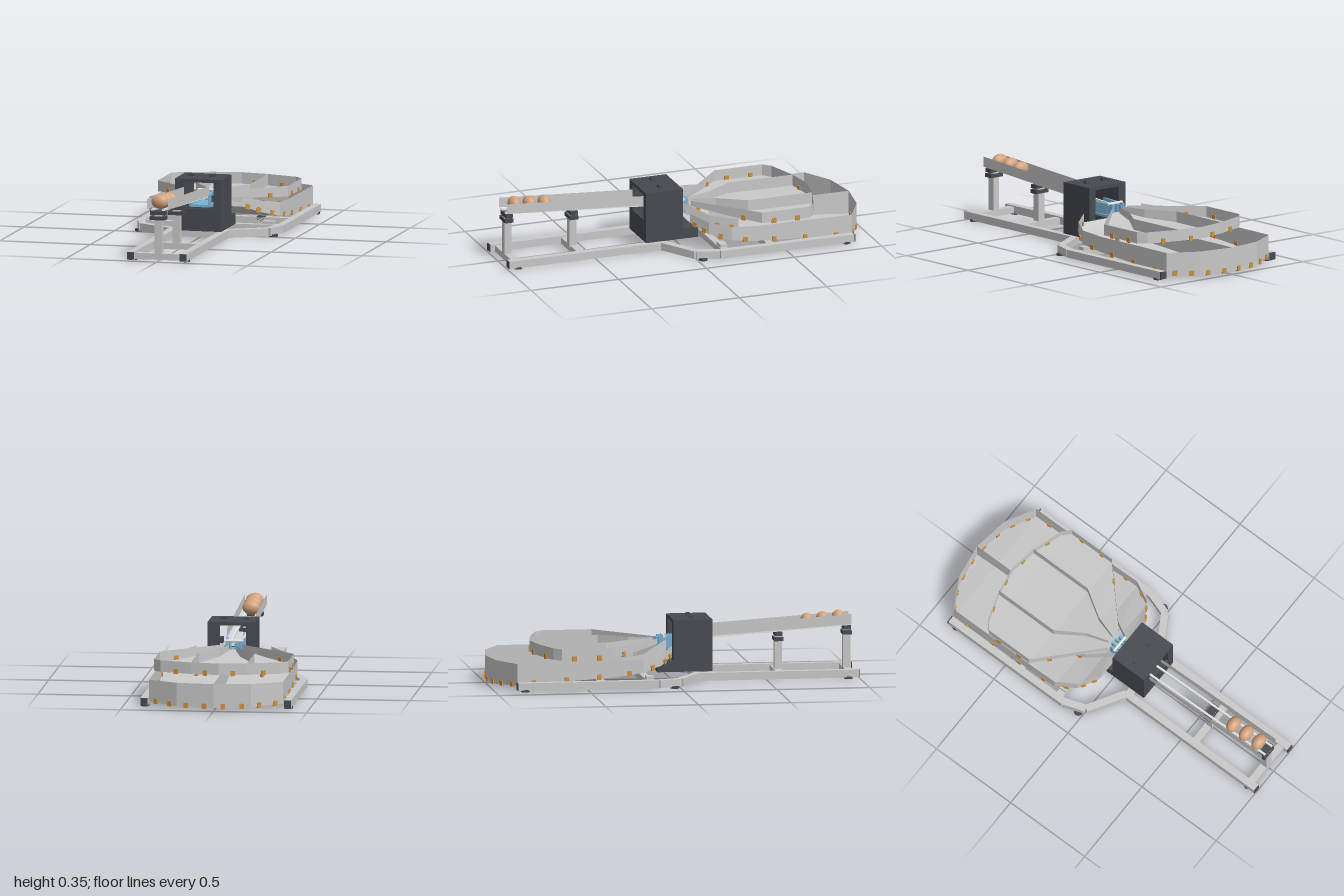
import * as THREE from 'three';

const mat = (name, color) => {
  const m = new THREE.MeshStandardMaterial({ color, side: THREE.DoubleSide });
  m.name = name;
  return m;
};

export function createModel() {
  const root = new THREE.Group();
  root.name = 'eggSortingTable';
  const steel = mat('light grey steel', 0xc9c9c9);
  const dark = mat('dark grey plastic', 0x464a4f);
  const orange = mat('orange clip', 0xd0923a);
  const shell = mat('egg shell', 0xd3a27c);
  const blue = mat('blue gate', 0x78b4d8);
  const white = mat('white rod', 0xe6e6e6);

  const add = (name, geo, m, parent = root) => {
    const mesh = new THREE.Mesh(geo, m);
    mesh.name = name;
    parent.add(mesh);
    return mesh;
  };
  // box given by its min and max corners
  const box = (name, m, x0, x1, y0, y1, z0, z1) => {
    const b = add(name, new THREE.BoxGeometry(x1 - x0, y1 - y0, z1 - z0), m);
    b.position.set((x0 + x1) / 2, (y0 + y1) / 2, (z0 + z1) / 2);
    return b;
  };
  // square bar between two points
  const bar = (name, m, a, b, w, h) => {
    const p = new THREE.Vector3(...a), q = new THREE.Vector3(...b);
    const mesh = add(name, new THREE.BoxGeometry(w, h, p.distanceTo(q)), m);
    mesh.position.copy(p).lerp(q, 0.5);
    mesh.lookAt(q);
    return mesh;
  };
  // faceted sheet stretched between two rows of points
  const sheet = (name, m, rowA, rowB) => {
    const pos = [];
    for (let i = 0; i < rowA.length - 1; i++) {
      const a = rowA[i], b = rowA[i + 1], c = rowB[i + 1], d = rowB[i];
      pos.push(...a, ...b, ...c, ...a, ...c, ...d);
    }
    const g = new THREE.BufferGeometry();
    g.setAttribute('position', new THREE.Float32BufferAttribute(pos, 3));
    g.computeVertexNormals();
    return add(name, g, m);
  };
  // clips spread along a tray edge
  const clips = (a, b, n) => {
    const p = new THREE.Vector3(...a), q = new THREE.Vector3(...b);
    for (let i = 0; i < n; i++) {
      const c = add('wallClip', new THREE.BoxGeometry(0.012, 0.028, 0.024), orange);
      c.position.copy(p).lerp(q, (i + 0.5) / n);
      c.position.y += 0.008;
      c.lookAt(c.position.clone().add(q).sub(p));
    }
  };

  // base frame
  const fy = 0.028, fh = 0.042;
  for (const s of [-1, 1]) {
    const path = [[0.145, 0.995], [0.145, 0.12], [0.345, 0], [0.385, -0.12], [0.385, -0.88]];
    for (let i = 0; i < path.length - 1; i++) {
      const [x0, z0] = path[i], [x1, z1] = path[i + 1];
      bar('frameRail', steel, [s * x0, fy, z0], [s * x1, fy, z1], 0.04, fh);
    }
    box('frontEndCap', dark, s * 0.145 - 0.019, s * 0.145 + 0.019, 0.009, 0.048, 0.99, 1);
    box('rearEndCap', dark, s * 0.385 - 0.019, s * 0.385 + 0.019, 0.009, 0.048, -0.886, -0.875);
    for (const [x, z] of [[0.145, 0.94], [0.37, -0.03], [0.385, -0.84]]) {
      const foot = add('foot', new THREE.CylinderGeometry(0.024, 0.024, 0.012, 12), dark);
      foot.position.set(s * x, 0.006, z);
    }
  }
  for (const [z, w] of [[0.95, 0.145], [0.575, 0.145], [0.13, 0.145], [-0.16, 0.385], [-0.42, 0.385]])
    bar('crossBeam', steel, [-w, fy - 0.003, z], [w, fy - 0.003, z], 0.04, 0.034);

  // posts carrying the infeed chute
  for (const [z, top] of [[0.95, 0.25], [0.58, 0.222]]) {
    box('chutePost', steel, -0.02, 0.02, 0.03, top, z - 0.02, z + 0.02);
    box('postBracket', dark, -0.045, 0.04, top - 0.028, top - 0.008, z - 0.024, z + 0.024);
    box('railSaddle', dark, -0.045, 0.04, top, top + 0.02, z - 0.02, z + 0.02);
  }

  // infeed chute: side plates and rolling rods
  for (const s of [-1, 1]) {
    const x = -0.003 + s * 0.058;
    sheet('chuteSide', steel, [[x, 0.28, 0.97], [x, 0.228, 0.12]], [[x, 0.335, 0.97], [x, 0.28, 0.12]]);
    bar('chuteRod', white, [-0.003 + s * 0.03, 0.278, 0.97], [-0.003 + s * 0.03, 0.21, 0], 0.011, 0.011);
  }
  for (let i = 0; i < 3; i++) {
    const egg = add('egg', new THREE.SphereGeometry(1, 28, 18), shell);
    egg.scale.set(0.048, 0.039, 0.034);
    egg.position.set(-0.005, 0.313 - i * 0.007, 0.905 - i * 0.085);
  }

  // housing around the sensor and gate
  box('housingLeftWall', dark, 0.102, 0.145, 0.05, 0.33, 0, 0.21);
  box('housingRightWall', dark, -0.11, -0.06, 0.05, 0.33, 0, 0.21);
  box('housingRoof', dark, -0.11, 0.145, 0.312, 0.33, 0, 0.21);
  box('housingFrontPanel', dark, -0.06, 0.102, 0.05, 0.17, 0.195, 0.21);
  box('housingFloor', dark, -0.06, 0.102, 0.05, 0.065, 0, 0.195);
  box('housingRearPanel', dark, -0.06, 0.102, 0.05, 0.15, 0, 0.012);
  box('controlBox', dark, -0.11, 0.145, 0.05, 0.108, -0.085, 0);
  box('gateMotor', dark, 0.075, 0.102, 0.2, 0.232, 0.1, 0.15);
  for (const x of [-0.05, 0.07]) box('roofButton', dark, x - 0.016, x + 0.016, 0.33, 0.343, 0.095, 0.115);

  // blue gate inside the housing
  box('gateBase', blue, -0.045, 0.06, 0.165, 0.178, -0.055, 0.12);
  for (const s of [-1, 1]) {
    bar('gateArm', blue, [s * 0.052, 0.2, 0.11], [s * 0.035, 0.2, -0.07], 0.012, 0.07);
    bar('gateFlap', blue, [s * 0.03, 0.21, 0.03], [s * 0.012, 0.21, -0.08], 0.008, 0.035);
  }
  const axle = add('gateAxle', new THREE.CylinderGeometry(0.008, 0.008, 0.1, 12), white);
  axle.rotation.z = Math.PI / 2;
  axle.position.set(0, 0.235, -0.04);

  // tray rows: [half width, z, centre floor y, edge floor y, wall top y]
  const lower = [
    [0.2, -0.02, 0.155, 0.155, 0.205], [0.3, -0.09, 0.125, 0.115, 0.18], [0.36, -0.2, 0.09, 0.085, 0.16],
    [0.36, -0.35, 0.065, 0.065, 0.15], [0.36, -0.88, 0.03, 0.03, 0.147], [0.2, -0.97, 0.02, 0.02, 0.147],
    [0, -1, 0.018, 0.018, 0.147],
  ];
  const upper = [
    [0.05, -0.08, 0.195, 0.195, 0.222], [0.2, -0.22, 0.178, 0.175, 0.222], [0.36, -0.37, 0.163, 0.163, 0.222],
    [0.36, -0.64, 0.16, 0.16, 0.222], [0.32, -0.68, 0.16, 0.16, 0.222], [0.15, -0.735, 0.16, 0.16, 0.222],
    [0, -0.76, 0.16, 0.16, 0.222],
  ];
  for (const [label, rows] of [['lowerTray', lower], ['upperTray', upper]]) {
    for (const s of [-1, 1]) {
      const centre = rows.map(([, z, y]) => [0, y, z]);
      const edge = rows.map(([w, z, , y]) => [s * w, y, z]);
      const top = rows.map(([w, z, , , y]) => [s * w, y, z]);
      sheet(label + 'Floor', steel, s > 0 ? centre : edge, s > 0 ? edge : centre);
      sheet(label + 'Wall', steel, edge, top);
      const counts = label === 'lowerTray' ? [2, 1, 1, 3, 2, 2] : [0, 1, 2, 0, 1, 1];
      counts.forEach((n, i) => clips(edge[i], edge[i + 1], n));
    }
  }

  // lane dividers
  sheet('lowerDivider', steel, [[0, 0.09, -0.2], [0, 0.065, -0.35], [0, 0.018, -1]],
    [[0, 0.16, -0.2], [0, 0.15, -0.35], [0, 0.147, -1]]);
  for (const s of [-1, 1]) {
    const lane = [[0.018, 0.19, -0.1], [0.055, 0.178, -0.22], [0.15, 0.163, -0.37], [0.15, 0.16, -0.735]];
    const foot = lane.map(([x, y, z]) => [s * x, y, z]);
    sheet('upperDivider', steel, foot, foot.map(([x, , z]) => [x, 0.222, z]));
    // inner funnel wall below the upper tray
    const funnel = [[0.05, 0.165, -0.03], [0.13, 0.1, -0.16], [0.19, 0.08, -0.3]].map(([x, y, z]) => [s * x, y, z]);
    sheet('lowerFunnelWall', steel, funnel, funnel.map(([x, y, z]) => [x, y + 0.055, z]));
    clips(funnel[1], funnel[2], 2);
    // tray supports on the frame
    box('traySupport', steel, s * 0.31 - 0.03, s * 0.31 + 0.03, 0.045, 0.062, -0.18, -0.14);
    for (const z of [-0.42, -0.7])
      box('underBracket', dark, s * 0.2 - 0.022, s * 0.2 + 0.022, 0.024, 0.045, z - 0.02, z + 0.02);
  }
  return root;
}
